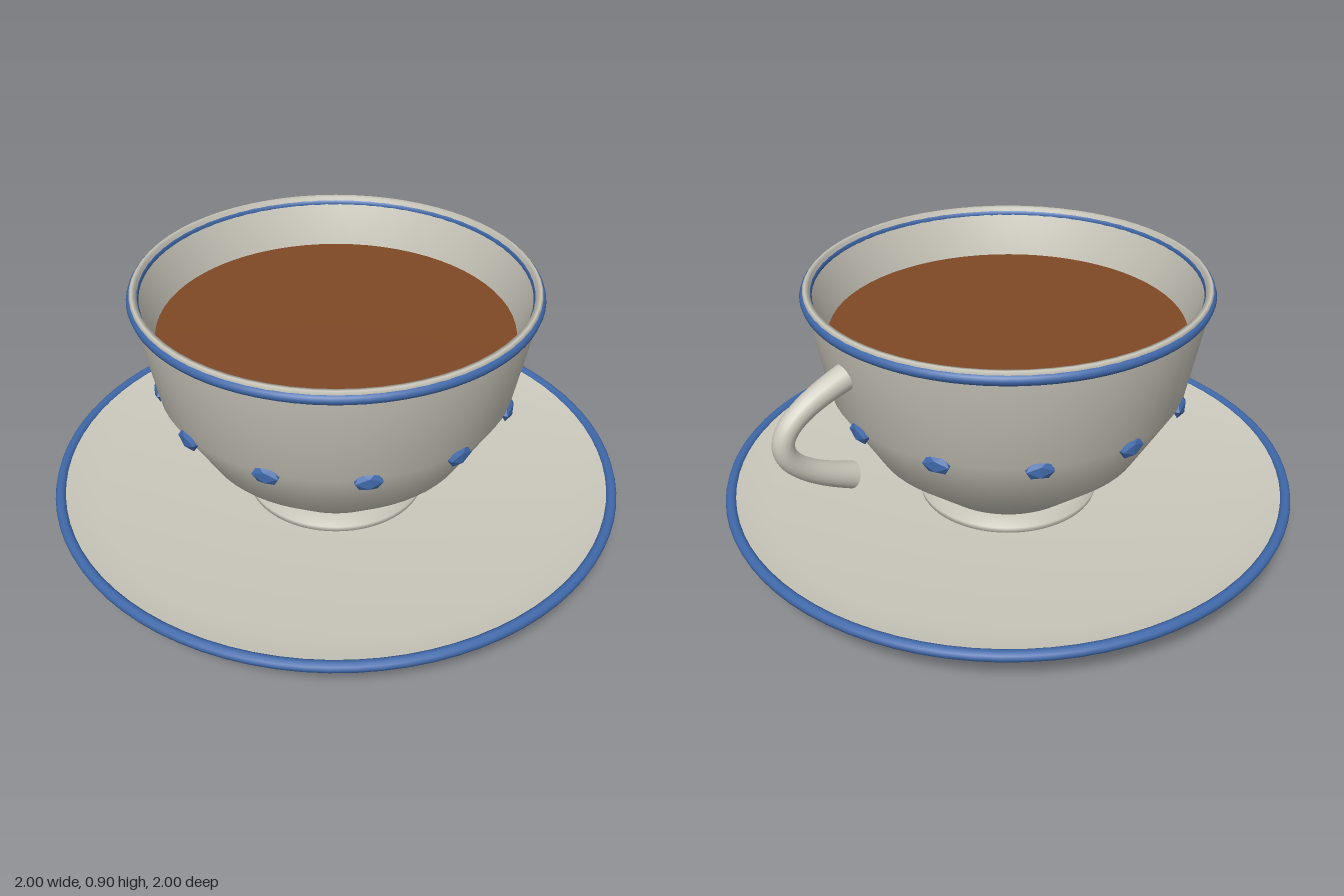
import * as THREE from 'three';

const material = (name, color) => {
  const m = new THREE.MeshStandardMaterial({ color });
  m.name = name;
  return m;
};

export function createModel() {
  const ceramic = material('ceramic', 0xcbc8bc);
  const blue = material('blue glaze', 0x4069aa);
  const coffeeBrown = material('coffee brown', 0x7f4826);

  const model = new THREE.Group();
  model.name = 'cupAndSaucer';

  const add = (name, geometry, mat, parent = model) => {
    const mesh = new THREE.Mesh(geometry, mat);
    mesh.name = name;
    parent.add(mesh);
    return mesh;
  };
  // Profiles run from the bottom centre, up the outside and back down the inside
  const lathe = (points) =>
    new THREE.LatheGeometry(points.map(([r, y]) => new THREE.Vector2(r, y)), 64);
  const ring = (name, radius, tube, y) => {
    const mesh = add(name, new THREE.TorusGeometry(radius, tube, 10, 80).rotateX(Math.PI / 2), blue);
    mesh.position.y = y;
  };

  // Saucer with a low foot and a shallow dish
  add('saucer', lathe([
    [0, 0], [0.34, 0], [0.38, 0.03], [0.86, 0.065], [0.985, 0.145],
    [0.965, 0.155], [0.85, 0.118], [0.34, 0.09], [0, 0.09],
  ]), ceramic);
  ring('saucerRim', 0.981, 0.019, 0.148);

  // Cup foot
  add('cupFoot', lathe([
    [0, 0.085], [0.315, 0.085], [0.32, 0.112], [0.28, 0.145], [0, 0.145],
  ]), ceramic);

  // Hollow cup bowl
  add('cupBowl', lathe([
    [0, 0.14], [0.28, 0.14], [0.47, 0.305], [0.607, 0.54], [0.668, 0.865], [0.672, 0.895],
    [0.665, 0.903], [0.65, 0.9], [0.602, 0.73], [0.56, 0.55], [0.43, 0.33], [0.26, 0.2], [0, 0.19],
  ]), ceramic);
  ring('cupRim', 0.662, 0.02, 0.876);

  // Coffee surface
  const coffee = add('coffee', new THREE.CircleGeometry(0.603, 64).rotateX(-Math.PI / 2), coffeeBrown);
  coffee.position.y = 0.73;

  // Handle: a curved tube, slimmer in the middle, closed at both ends
  const handle = new THREE.Group();
  handle.name = 'handle';
  model.add(handle);
  const path = new THREE.CubicBezierCurve3(
    new THREE.Vector3(0.62, 0.75, 0), new THREE.Vector3(0.92, 0.67, 0),
    new THREE.Vector3(0.98, 0.53, 0), new THREE.Vector3(0.643, 0.388, 0),
  );
  const steps = 32, sides = 16, radius = 0.045;
  const tube = new THREE.TubeGeometry(path, steps, radius, sides);
  const pos = tube.attributes.position;
  const v = new THREE.Vector3();
  for (let i = 0; i <= steps; i++) {
    const centre = path.getPointAt(i / steps);
    const scale = 1 - 0.22 * Math.sin((Math.PI * i) / steps);
    for (let j = 0; j <= sides; j++) {
      const k = i * (sides + 1) + j;
      v.fromBufferAttribute(pos, k).sub(centre).multiplyScalar(scale).add(centre);
      pos.setXYZ(k, v.x, v.y, v.z);
    }
  }
  tube.computeVertexNormals();
  add('handleTube', tube, ceramic, handle);
  for (const t of [0, 1]) {
    const cap = add('handleEnd', new THREE.CircleGeometry(radius, sides), ceramic, handle);
    const outward = path.getTangentAt(t).multiplyScalar(t ? 1 : -1);
    cap.position.copy(path.getPointAt(t));
    cap.quaternion.setFromUnitVectors(new THREE.Vector3(0, 0, 1), outward);
  }

  // Band of twelve faceted dots around the bowl
  const dots = new THREE.Group();
  dots.name = 'dots';
  model.add(dots);
  const dotShape = new THREE.IcosahedronGeometry(1, 0).scale(0.052, 0.036, 0.02);
  for (let i = 0; i < 12; i++) {
    const a = (i * Math.PI) / 6;
    const dot = add('dot', dotShape, blue, dots);
    dot.position.set(0.604 * Math.sin(a), 0.53, 0.604 * Math.cos(a));
    dot.rotation.y = a;
  }

  return model;
}
